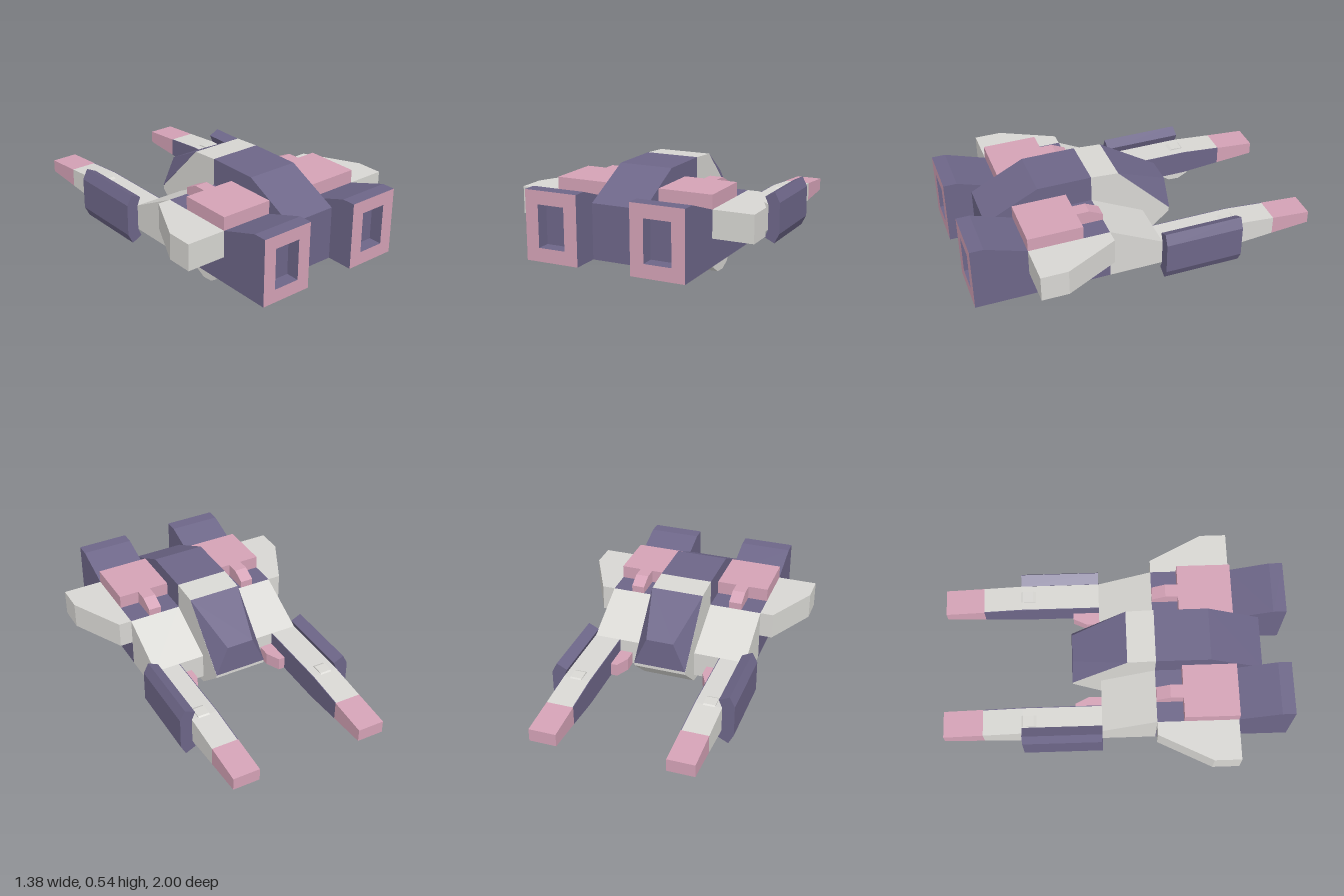
import * as THREE from 'three';
import { ConvexGeometry } from 'three/addons/geometries/ConvexGeometry.js';

function paint(name, color) {
  const m = new THREE.MeshStandardMaterial({ color });
  m.name = name;
  return m;
}

export function createModel() {
  const gray = paint('pale gray', 0xd8d7d3);
  const purple = paint('slate purple', 0x6d6688);
  const pink = paint('dusty pink', 0xd4a2b6);
  const model = new THREE.Group();
  model.name = 'spacecraft';

  const add = (name, geometry, material, parent = model) => {
    const mesh = new THREE.Mesh(geometry, material);
    mesh.name = name;
    parent.add(mesh);
    return mesh;
  };
  const toShape = (points) => new THREE.Shape(points.map(([a, b]) => new THREE.Vector2(a, b)));
  const extrude = (shape, depth) => new THREE.ExtrudeGeometry(shape, { depth, bevelEnabled: false });

  // Side outline of [z, y] points, spanning xa..xb
  const fromSide = (points, xa, xb) =>
    extrude(toShape(points), Math.abs(xb - xa)).rotateY(-Math.PI / 2).translate(Math.max(xa, xb), 0, 0);
  // Plan outline of [x, z] points, spanning y0..y1
  const fromTop = (points, y0, y1) =>
    extrude(toShape(points.map(([x, z]) => [x, -z])), y1 - y0).rotateX(-Math.PI / 2).translate(0, y0, 0);
  // Front outline of [x, y] points, spanning z0..z1
  const fromFront = (points, z0, z1) => extrude(toShape(points), z1 - z0).translate(0, 0, z0);

  // Central hull: purple nose, gray rear section, tapered rear canopy
  add('noseHull', fromSide([[0.845, 0.08], [0.845, 0.385], [0.54, 0.54], [0.23, 0.54], [0.23, 0], [0.54, 0]],
    -0.154, 0.154), purple);
  add('rearHull', fromSide([[0.23, 0], [0.23, 0.54], [0.07, 0.53], [-0.245, 0.205], [-0.245, 0.185], [-0.08, 0.04]],
    -0.154, 0.154), gray);
  const canopy = [];
  for (const s of [-1, 1]) {
    canopy.push(
      new THREE.Vector3(s * 0.154, 0.53, 0.07),
      new THREE.Vector3(s * 0.08, 0.37, -0.24),
      new THREE.Vector3(s * 0.154, 0.205, -0.248));
  }
  add('rearCanopy', new ConvexGeometry(canopy), purple);

  // Twelve-sided disc seen from the side
  const disc = (z, y, r) => Array.from({ length: 12 }, (_, i) => {
    const a = (i + 0.6) * Math.PI / 6;
    return [z + r * Math.cos(a), y + r * Math.sin(a)];
  });

  for (const s of [1, -1]) {
    const side = new THREE.Group();
    side.name = s > 0 ? 'leftSide' : 'rightSide';
    model.add(side);
    const mirror = (points) => points.map(([x, y]) => [s * x, y]);
    const sidePart = (name, points, xa, xb, material) =>
      add(name, fromSide(points, s * xa, s * xb), material, side);

    // Engine pod with a hollow framed front
    sidePart('enginePod', [[0.923, 0.08], [0.923, 0.462], [0.69, 0.385], [0.23, 0.385], [0.23, 0.08]],
      0.154, 0.46, purple);
    const frame = toShape(mirror([[0.154, 0.08], [0.46, 0.08], [0.46, 0.462], [0.154, 0.462]]));
    frame.holes.push(new THREE.Path(
      mirror([[0.23, 0.155], [0.23, 0.388], [0.385, 0.388], [0.385, 0.155]])
        .map(([x, y]) => new THREE.Vector2(x, y))));
    add('engineFrame', extrude(frame, 0.077).translate(0, 0, 0.923), [pink, purple], side);

    // Raised plate on the pod with a sloping rear tab
    sidePart('podPlate', [[0.69, 0.385], [0.69, 0.462], [0.38, 0.462], [0.38, 0.385]], 0.154, 0.46, pink);
    sidePart('podPlateTab', [[0.38, 0.385], [0.38, 0.462], [0.307, 0.462], [0.23, 0.425], [0.23, 0.385]],
      0.268, 0.344, pink);

    // Stub wing
    add('wing', fromTop(mirror([[0.46, 0.23], [0.535, 0.23], [0.69, 0.537], [0.69, 0.69], [0.46, 0.69]]),
      0.232, 0.385), gray, side);

    // Sloping shoulder and the long rear arm
    sidePart('shoulder', [[0.23, 0.08], [0.23, 0.385], [-0.08, 0.23], [-0.08, 0.08]], 0.154, 0.46, gray);
    const arm = [[-0.08, 0.08], [-0.08, 0.23], [-0.54, 0.23], [-0.77, 0.21], [-0.77, 0.1], [-0.54, 0.08]];
    sidePart('arm', arm, 0.309, 0.46, gray);
    sidePart('armInnerFace', arm, 0.305, 0.309, purple);
    sidePart('armTip', [[-0.77, 0.1], [-0.77, 0.21], [-1, 0.192], [-1, 0.118]], 0.305, 0.46, pink);

    // Small fin on the inside of the arm
    add('innerFin', fromTop(mirror([[0.305, -0.08], [0.23, -0.08], [0.23, -0.155], [0.268, -0.235], [0.305, -0.235]]),
      0.08, 0.155), pink, side);

    // Side guard with bent upper and lower lips
    add('sideGuard', fromFront(mirror([
      [0.46, 0.08], [0.44, 0.033], [0.5, 0.003], [0.53, 0.062],
      [0.53, 0.248], [0.5, 0.307], [0.44, 0.277], [0.46, 0.23],
    ]), -0.54, -0.08), purple, side);

    // Faceted landing discs
    sidePart('frontFoot', disc(0.5, 0.121, 0.12), 0.355, 0.422, gray);
    sidePart('rearFoot', disc(-0.5, 0.121, 0.12), 0.355, 0.422, gray);
  }
  return model;
}
